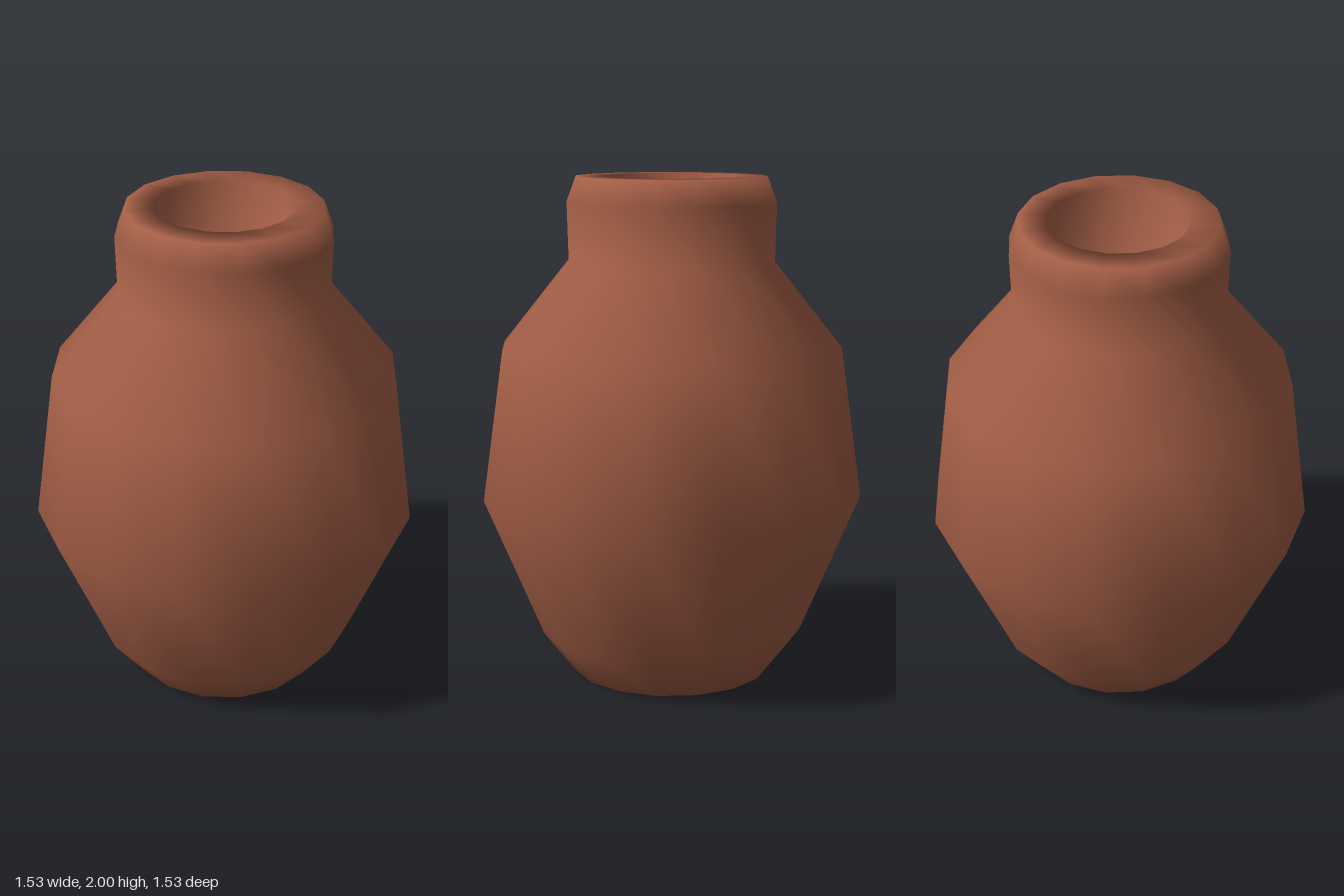
import * as THREE from 'three';

export function createModel() {
  const group = new THREE.Group();
  group.name = 'clayJar';

  const terracotta = new THREE.MeshStandardMaterial({ color: 0xa35e46 });
  terracotta.name = 'terracotta';

  // One continuous profile: base, belly, shoulder, neck, rim, then the mouth hollow
  const profile = [
    [0, 0], [0.4, 0], [0.53, 0.17], [0.765, 0.735], [0.68, 1.335],
    [0.412, 1.67], [0.418, 1.9], [0.38, 2],
    [0.268, 2], [0.268, 1.6], [0, 1.6],
  ].map(([r, y]) => new THREE.Vector2(r, y));

  // Sixteen sides with smooth normals
  const jar = new THREE.Mesh(new THREE.LatheGeometry(profile, 16), terracotta);
  jar.name = 'jarBody';
  group.add(jar);

  return group;
}
